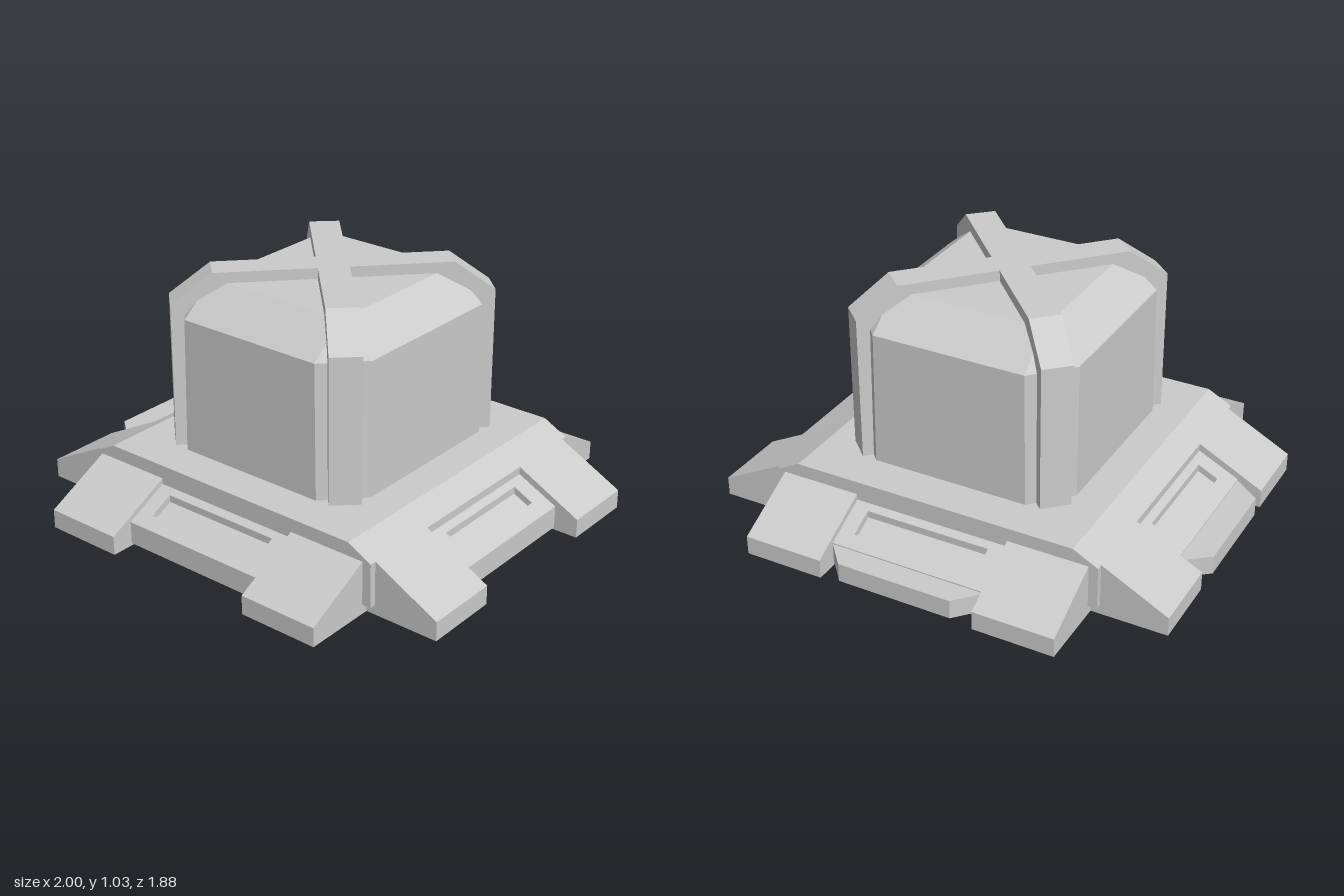
import * as THREE from 'three';
import { ConvexGeometry } from 'three/addons/geometries/ConvexGeometry.js';

const material = new THREE.MeshStandardMaterial({ color: 0xcccccc, flatShading: true });

function addMesh(parent, name, geometry) {
  const mesh = new THREE.Mesh(geometry, material);
  mesh.name = name;
  parent.add(mesh);
  return mesh;
}

const toShape = (points) => new THREE.Shape(points.map(([a, b]) => new THREE.Vector2(a, b)));

// Prism: an (outward, up) profile drawn out from z = a to z = b
function prism(profile, a, b) {
  return new THREE.ExtrudeGeometry(toShape(profile), { depth: b - a, bevelEnabled: false }).translate(0, 0, a);
}

function box(w, h, d, y) {
  return new THREE.BoxGeometry(w, h, d).translate(0, y + h / 2, 0);
}

// One side of the base: two sloping feet, a slotted panel between them, optional lip
function makeSide(name, s) {
  const side = new THREE.Group();
  side.name = name;
  const inner = s.edge - 0.08;
  const footProfile = [[inner, 0], [s.reach, 0], [s.reach, 0.08], [s.edge, s.footTop], [inner, s.footTop]];
  addMesh(side, 'foot', prism(footProfile, s.footIn, s.footOut));
  addMesh(side, 'foot', prism(footProfile, -s.footOut, -s.footIn));

  // Panel: solid ends, and a middle stretch with the slot sunk into its slope
  const y = (r) => 0.105 + (s.panel - r) * 0.5;
  const outline = [[inner, 0.01], [s.panel, 0.01], [s.panel, y(s.panel)]];
  const top = [[s.edge, y(s.edge)], [inner, y(s.edge)]];
  const [r0, r1] = s.slot;
  const slot = [[r1, y(r1)], [r1, y(r1) - 0.03], [r0, y(r0) - 0.03], [r0, y(r0)]];
  addMesh(side, 'panelEnd', prism([...outline, ...top], s.slotHalf, s.footIn));
  addMesh(side, 'panelEnd', prism([...outline, ...top], -s.footIn, -s.slotHalf));
  addMesh(side, 'panelSlot', prism([...outline, ...slot, ...top], -s.slotHalf, s.slotHalf));

  // Lip with cut corners
  if (s.lip) {
    const w = s.footIn, tip = w - 0.09;
    const plan = [[s.panel - 0.05, -w], [s.panel, -w], [s.lip, -tip], [s.lip, tip], [s.panel, w], [s.panel - 0.05, w]];
    addMesh(side, 'lip', prism(plan, 0, 0.08).rotateX(-Math.PI / 2).translate(0, 0.02, 0));
  }
  side.rotation.y = s.angle;
  return side;
}

export function createModel() {
  const model = new THREE.Group();
  model.name = 'domedBuilding';

  // Base
  const base = new THREE.Group();
  base.name = 'base';
  base.position.set(0.005, 0, -0.004);
  model.add(base);
  addMesh(base, 'slab', prism(
    [[-0.715, 0.04], [0.715, 0.04], [0.715, 0.225], [0.61, 0.28], [-0.61, 0.28], [-0.715, 0.225]], -0.66, 0.66));
  addMesh(base, 'underside', box(1.35, 0.05, 1.264, 0.004));
  addMesh(base, 'bottomHatch', box(0.72, 0.01, 0.72, 0));
  addMesh(base, 'topPlate', box(0.38, 0.01, 0.38, 0.275));

  const xSide = { edge: 0.715, footTop: 0.225, reach: 0.994, footIn: 0.315, footOut: 0.633,
    panel: 0.89, slot: [0.745, 0.83], slotHalf: 0.235 };
  const zSide = { edge: 0.66, footTop: 0.223, reach: 0.94, footIn: 0.335, footOut: 0.677,
    panel: 0.845, slot: [0.69, 0.79], slotHalf: 0.268 };
  base.add(
    makeSide('leftSide', { ...xSide, angle: 0 }),
    makeSide('rightSide', { ...xSide, angle: Math.PI, lip: 1.004 }),
    makeSide('frontSide', { ...zSide, angle: -Math.PI / 2 }),
    makeSide('backSide', { ...zSide, angle: Math.PI / 2, lip: 0.945 }));

  // Main block: cut corners, slightly tapered walls and a sloping roof edge
  const points = [];
  const corner = (x, y, z) => {
    for (const sx of [-1, 1]) for (const sz of [-1, 1]) points.push(new THREE.Vector3(sx * x, y, sz * z));
  };
  for (const [y, t] of [[0.295, 0], [0.86, 0.008]]) {
    corner(0.335 - t, y, 0.512 - t / 2);
    corner(0.48 - t / 2, y, 0.36 - t);
  }
  corner(0.325, 0.985, 0.35);
  const block = new THREE.Group();
  block.name = 'block';
  block.position.x = 0.008;
  model.add(block);
  addMesh(block, 'wallsAndRoof', new ConvexGeometry(points));

  // Crossed ribs running up the corners and over the roof
  const half = [[0.645, 0.295], [0.645, 0.905], [0.478, 1.03]];
  const ribProfile = [...half, ...half.map(([r, y]) => [-r, y]).reverse()];
  for (const sign of [-1, 1]) {
    const rib = addMesh(block, 'cornerRib', prism(ribProfile, -0.063, 0.063));
    rib.rotation.y = sign * Math.atan2(0.465, 0.44);
  }
  return model;
}
